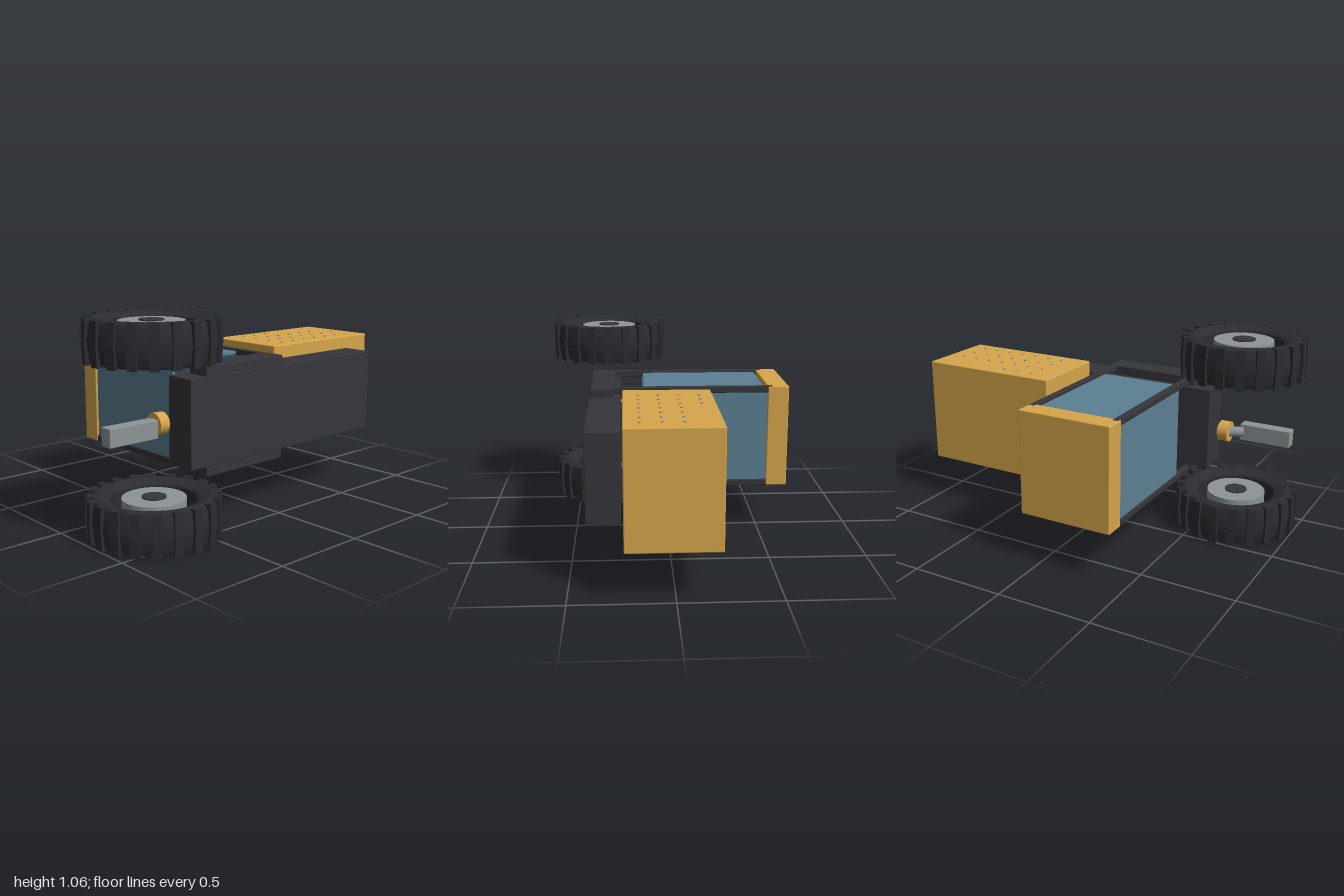
import * as THREE from 'three';
import { RoundedBoxGeometry } from 'three/addons/geometries/RoundedBoxGeometry.js';

const mat = (name, color) => {
  const m = new THREE.MeshStandardMaterial({ color });
  m.name = name;
  return m;
};

export function createModel() {
  const gold = mat('goldPaint', 0xd6a64b);
  const dark = mat('darkMetal', 0x36353b);
  const rubber = mat('rubber', 0x2c2c31);
  const glass = mat('glass', 0x5c8093);
  const grey = mat('greyMetal', 0x8d9496);

  const model = new THREE.Group();
  model.name = 'tractor';

  const add = (name, geometry, material, parent = model) => {
    const m = new THREE.Mesh(geometry, material);
    m.name = name;
    parent.add(m);
    return m;
  };
  // Box given by its limits on each axis, with a small edge radius
  const box = (name, material, x0, x1, y0, y1, z0, z1, r = 0) => {
    const s = [x1 - x0, y1 - y0, z1 - z0];
    const g = r ? new RoundedBoxGeometry(...s, 2, r) : new THREE.BoxGeometry(...s);
    const m = add(name, g, material);
    m.position.set((x0 + x1) / 2, (y0 + y1) / 2, (z0 + z1) / 2);
    return m;
  };
  // Cylinder running between two points
  const rod = (name, material, a, b, r, sides = 24) => {
    const p = new THREE.Vector3(...a), q = new THREE.Vector3(...b);
    const m = add(name, new THREE.CylinderGeometry(r, r, p.distanceTo(q), sides), material);
    m.position.copy(p).add(q).multiplyScalar(0.5);
    m.quaternion.setFromUnitVectors(new THREE.Vector3(0, 1, 0), q.sub(p).normalize());
    return m;
  };

  // Chassis, cab floor and seat pedestal
  box('chassis', dark, -0.52, 0.813, 0.31, 0.755, 0.248, 0.414, 0.004);
  box('cabFloor', dark, -0.415, 0.11, 0.255, 0.807, 0.28, 0.408, 0.008);
  box('pedestal', dark, -0.28, -0.11, 0.42, 0.645, 0.05, 0.255);

  // Cab: four posts, panes set between them, and roof
  for (const x of [-0.385, 0.08])
    for (const y of [0.273, 0.791])
      box('cabPost', dark, x - 0.017, x + 0.017, y - 0.017, y + 0.017, -0.565, 0.285, 0.005);
  for (const y of [0.273, 0.791])
    box('sidePane', glass, -0.355, 0.05, y - 0.008, y + 0.008, -0.52, 0.12);
  for (const x of [-0.385, 0.08])
    box('endPane', glass, x - 0.008, x + 0.008, 0.29, 0.774, -0.54, 0.125);
  box('roof', gold, -0.405, 0.1, 0.257, 0.807, -0.65, -0.537, 0.006);

  // Hood with rivets on both sides and grille slats
  box('hood', gold, 0.22, 1, 0.243, 0.822, -0.215, 0.238, 0.006);
  const rivet = new THREE.CylinderGeometry(0.007, 0.007, 0.008, 10);
  [-0.145, -0.04, 0.06, 0.16].forEach((z, row) => {
    for (let i = 0; i < (row ? 7 : 3); i++)
      for (const y of [0.243, 0.822])
        add('rivet', rivet, grey).position.set(0.362 + i * 0.09, y, z);
  });
  for (let i = 0; i < 9; i++) {
    const z = -0.018 + i * 0.0235;
    box('grilleSlat', dark, 0.5, 0.94, 0.225, 0.247, z - 0.005, z + 0.005);
  }

  // Hitch: gold knob, neck and block
  rod('hitchKnob', gold, [-0.635, 0.534, 0.275], [-0.58, 0.534, 0.275], 0.055);
  rod('hitchKnobCap', gold, [-0.58, 0.534, 0.275], [-0.573, 0.534, 0.275], 0.04);
  rod('hitchNeck', grey, [-0.7, 0.534, 0.305], [-0.63, 0.534, 0.275], 0.028);
  box('hitchBlock', grey, -0.955, -0.68, 0.488, 0.578, 0.3, 0.367, 0.004);

  // Wheels lie flat, with the axle along y; the tyre has a dished inner wall
  const tyreProfile = [
    [0.205, -0.07], [0.215, -0.082], [0.265, -0.104], [0.285, -0.102], [0.306, -0.09],
    [0.318, 0], [0.306, 0.09], [0.285, 0.102], [0.265, 0.104], [0.215, 0.082],
    [0.205, 0.07], [0.205, -0.07],
  ].map(([r, y]) => new THREE.Vector2(r, y));
  const tyreGeo = new THREE.LatheGeometry(tyreProfile, 48);
  const lugGeo = new THREE.BoxGeometry(0.045, 0.104, 0.035);
  const hubGeo = new THREE.CylinderGeometry(0.157, 0.157, 0.166, 40);
  const capGeo = new THREE.CylinderGeometry(0.06, 0.06, 0.178, 32);
  const lugs = 20;
  for (const y of [0.107, 0.956]) {
    const wheel = new THREE.Group();
    wheel.name = 'wheel';
    wheel.position.set(-0.67, y, 0.315);
    model.add(wheel);
    add('tyre', tyreGeo, rubber, wheel);
    add('hub', hubGeo, grey, wheel);
    add('hubCap', capGeo, dark, wheel);
    // Paired tread lugs, leaning in slightly toward the shoulders
    for (const side of [-1, 1])
      for (let i = 0; i < lugs; i++) {
        const a = (i / lugs) * Math.PI * 2;
        const lug = add('treadLug', lugGeo, rubber, wheel);
        lug.position.set(Math.sin(a) * 0.309, side * 0.052, Math.cos(a) * 0.309);
        lug.rotation.set(-side * 0.05, a, 0, 'YXZ');
      }
  }
  return model;
}
